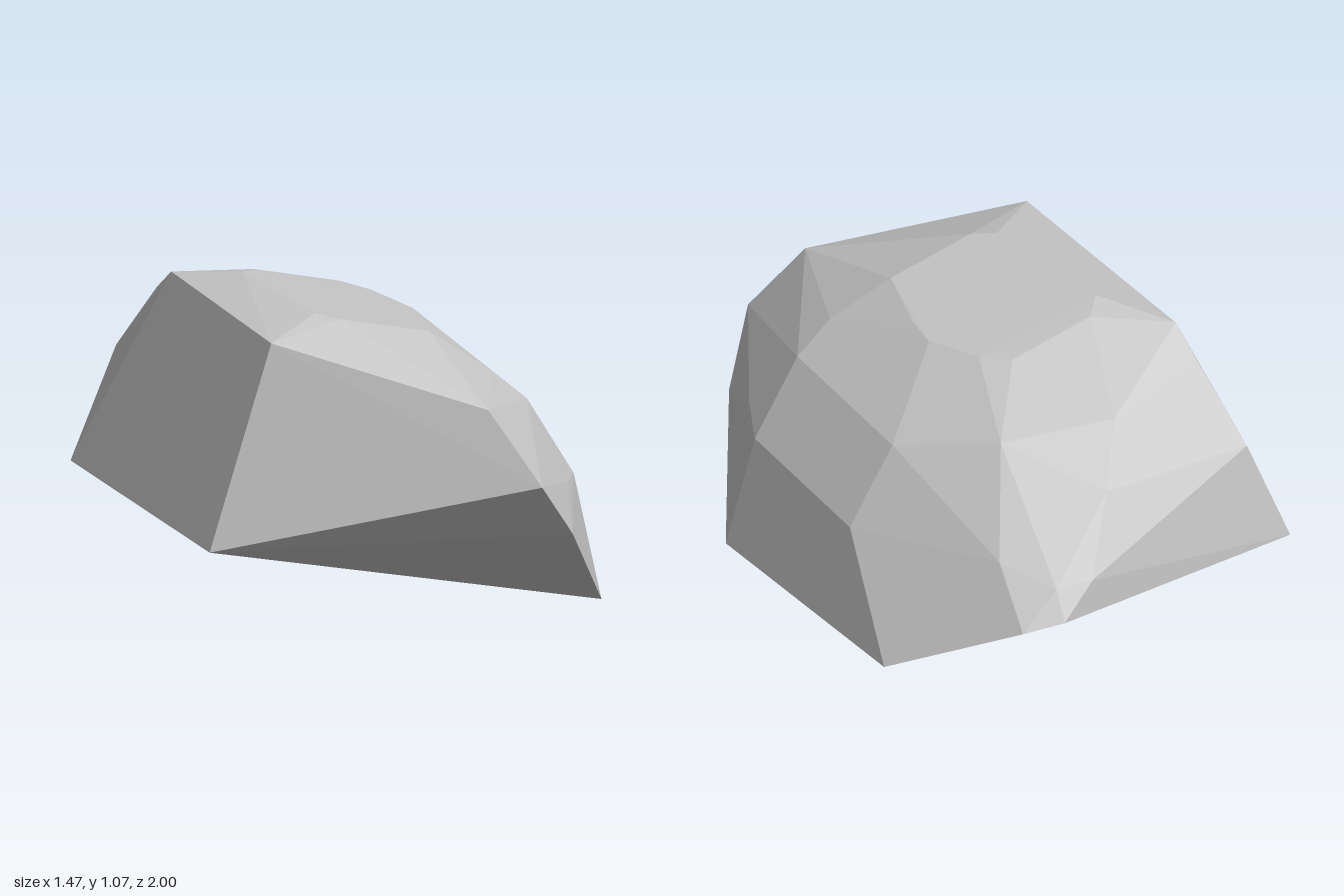
import * as THREE from 'three';
import { ConvexGeometry } from 'three/addons/geometries/ConvexGeometry.js';

// Corner points of the boulder, grouped by region
const flatCuts = [ // broken left, front and underside faces
  [-0.68, 0.285, 0.47], [-0.46, 1.01, 0.48], [0.19, 0.815, 0.87], [0.34, 0.56, 1.0],
  [0.5, 0.345, 0.86], [0.73, 0, 0.5], [0.715, 0.08, -0.525], [-0.735, 0.285, -0.81],
];
const crown = [ // sloping top
  [-0.5, 1.03, -0.44], [-0.32, 1.073, -0.21], [-0.25, 1.055, -0.29], [0.06, 0.985, -0.29],
  [0.14, 0.97, -0.2], [0.22, 0.95, 0], [0.21, 0.952, 0.12], [0.15, 0.97, 0.37],
  [-0.17, 1.04, 0.37], [-0.24, 1.055, 0.31],
];
const shoulder = [ // worn right side
  [0.3, 0.88, -0.06], [0.35, 0.83, 0.44], [0.48, 0.72, 0.44], [0.48, 0.72, -0.19],
  [0.65, 0.44, 0.44], [0.65, 0.44, -0.19], [0.57, 0.46, 0.61],
];
const backSlope = [ // worn back
  [-0.51, 0.945, -0.56], [-0.58, 0.69, -0.78], [-0.13, 0.885, -0.65], [0, 0.72, -0.81],
  [0.15, 0.5, -0.97], [0.28, 0.385, -1.0], [0.41, 0.35, -0.94], [0.27, 0.48, -0.93],
  [0.24, 0.83, -0.51], [0.39, 0.53, -0.75],
];

export function createModel() {
  const group = new THREE.Group();
  group.name = 'rock';

  const stone = new THREE.MeshStandardMaterial({ color: 0xc6c6c6, flatShading: true });
  stone.name = 'light grey stone';

  // Faceted boulder wrapped around all the corners
  const points = [...flatCuts, ...crown, ...shoulder, ...backSlope]
    .map((p) => new THREE.Vector3(...p));
  const boulder = new THREE.Mesh(new ConvexGeometry(points), stone);
  boulder.name = 'boulder';
  group.add(boulder);
  return group;
}
